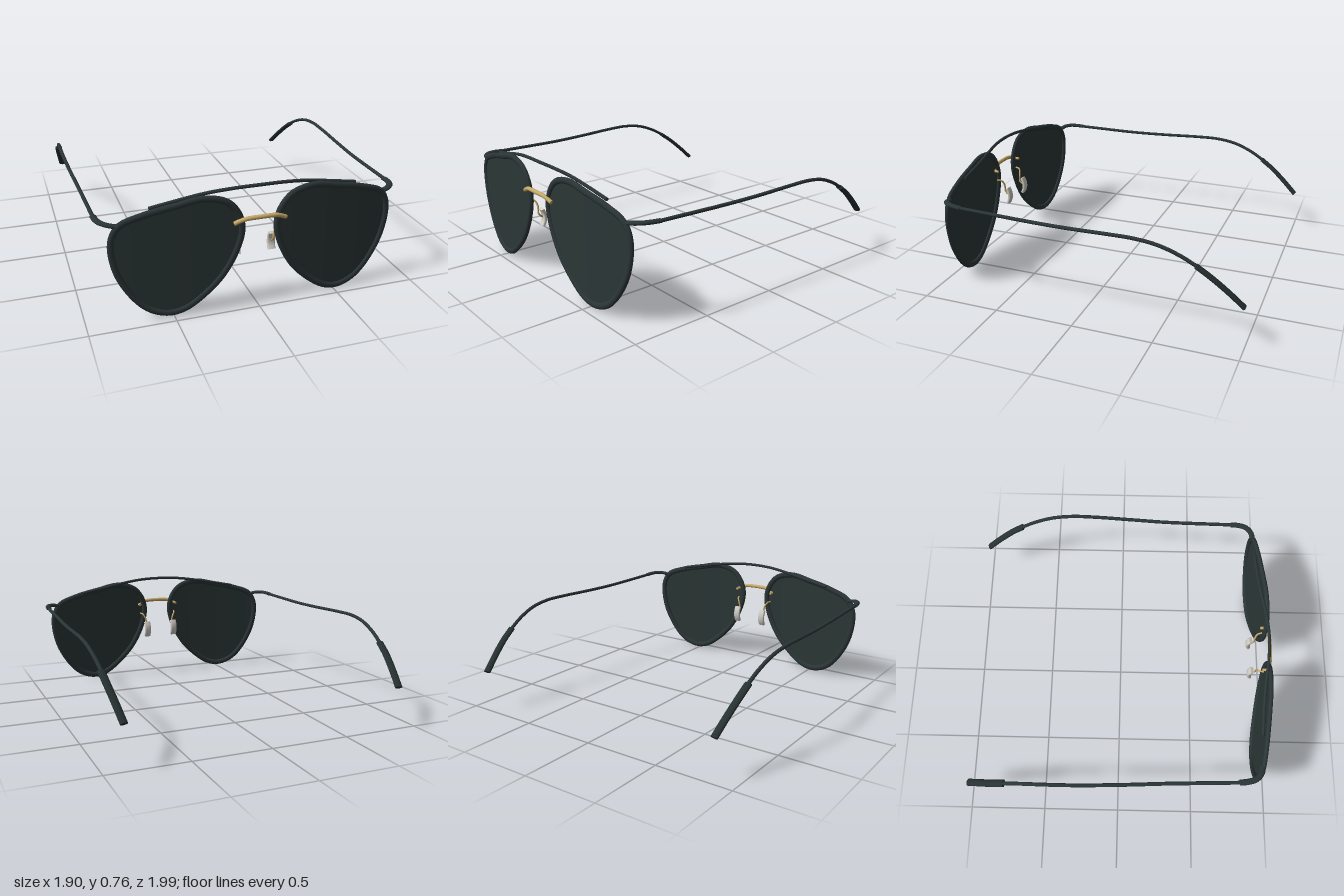
import * as THREE from 'three';

const mat = (name, color, side = THREE.FrontSide) => {
  const m = new THREE.MeshStandardMaterial({ color, side });
  m.name = name;
  return m;
};
const V = (x, y, z) => new THREE.Vector3(x, y, z);
const UP_Y = V(0, 1, 0), UP_Z = V(0, 0, 1);

// Sweeps an oval section (half width a, half height b) along a smooth path.
function sweep(points, a, b, { up = UP_Y, closed = false, steps = 48, sides = 12, power = 1 } = {}) {
  const curve = new THREE.CatmullRomCurve3(points, closed, 'centripetal');
  const pos = [], idx = [];
  const soft = (v) => Math.sign(v) * Math.abs(v) ** power;
  for (let i = 0; i <= steps; i++) {
    const p = curve.getPointAt(i / steps), t = curve.getTangentAt(i / steps);
    const s = up.clone().cross(t).normalize(), n = t.clone().cross(s);
    for (let j = 0; j < sides; j++) {
      const w = (j / sides) * Math.PI * 2;
      const q = p.clone().addScaledVector(s, a * soft(Math.cos(w))).addScaledVector(n, b * soft(Math.sin(w)));
      pos.push(q.x, q.y, q.z);
    }
  }
  for (let i = 0; i < steps; i++) {
    const r0 = i * sides, r1 = (closed ? (i + 1) % steps : i + 1) * sides;
    for (let j = 0; j < sides; j++) {
      const k = (j + 1) % sides;
      idx.push(r0 + j, r0 + k, r1 + j, r0 + k, r1 + k, r1 + j);
    }
  }
  // flat end caps on their own vertices
  if (!closed) for (const end of [0, steps]) {
    const base = pos.length / 3, from = end * sides * 3;
    pos.push(...pos.slice(from, from + sides * 3));
    for (let j = 1; j < sides - 1; j++) {
      idx.push(base, base + (end ? j : j + 1), base + (end ? j + 1 : j));
    }
  }
  const g = new THREE.BufferGeometry();
  g.setAttribute('position', new THREE.Float32BufferAttribute(pos, 3));
  g.setIndex(idx);
  g.computeVertexNormals();
  return g;
}

// Outer edge of one lens and the shallow wrap of the front
const OUTLINE = [
  [0.085, 0.51], [0.108, 0.61], [0.18, 0.695], [0.315, 0.73], [0.48, 0.702], [0.67, 0.66],
  [0.805, 0.605], [0.853, 0.51], [0.83, 0.31], [0.73, 0.125], [0.64, 0.04], [0.535, 0.005],
  [0.44, 0.02], [0.35, 0.075], [0.21, 0.21], [0.12, 0.37],
];
const CENTRE = [0.47, 0.39];
const wrapZ = (x) => 0.962 - 0.015 * x - 0.072 * x * x;
const inset = (f, sx) => OUTLINE.map(([x, y]) => {
  const px = CENTRE[0] + (x - CENTRE[0]) * f;
  return V(sx * px, CENTRE[1] + (y - CENTRE[1]) * f, wrapZ(px));
});

// Curved lens sheet made of shrinking rings
function lensGeometry(sx) {
  const edge = new THREE.CatmullRomCurve3(inset(0.95, 1), true, 'centripetal').getSpacedPoints(72).slice(0, 72);
  const pos = [], idx = [], rings = 8, n = edge.length;
  for (let r = 0; r <= rings; r++) {
    const f = 1 - r / rings;
    for (const p of edge) {
      const x = CENTRE[0] + (p.x - CENTRE[0]) * f;
      pos.push(sx * x, CENTRE[1] + (p.y - CENTRE[1]) * f, wrapZ(x) + 0.003);
    }
  }
  for (let r = 0; r < rings; r++) for (let j = 0; j < n; j++) {
    const a = r * n + j, b = r * n + (j + 1) % n, c = a + n, d = b + n;
    // the outline runs clockwise on the left and anticlockwise on the right
    const tris = sx > 0 ? [a, c, b, b, c, d] : [a, b, c, b, d, c];
    idx.push(...(r === rings - 1 ? tris.slice(0, 3) : tris));
  }
  const g = new THREE.BufferGeometry();
  g.setAttribute('position', new THREE.Float32BufferAttribute(pos, 3));
  g.setIndex(idx);
  g.computeVertexNormals();
  return g;
}

export function createModel() {
  const model = new THREE.Group();
  model.name = 'sunglasses';
  const frame = mat('dark frame', 0x2b3536);
  const lens = mat('tinted lens', 0x2b3736, THREE.DoubleSide);
  const tipMat = mat('temple tip', 0x273131);
  const gold = mat('gold metal', 0xc9ab69);
  const padMat = mat('pad silicone', 0xd2cec6);
  const add = (name, geometry, material, parent = model) => {
    const m = new THREE.Mesh(geometry, material);
    m.name = name;
    parent.add(m);
    return m;
  };

  for (const sx of [1, -1]) {
    const side = new THREE.Group();
    side.name = sx > 0 ? 'leftSide' : 'rightSide';
    model.add(side);
    const path = (pts) => pts.map(([x, y, z]) => V(sx * x, y, z));

    // Rim and lens
    add('rim', sweep(inset(0.95, sx), 0.02, 0.015, { up: UP_Z, closed: true, steps: 96 }), frame, side);
    add('lens', lensGeometry(sx), lens, side);

    // Hinge, temple arm and ear tip
    add('hinge', sweep(path([
      [0.8, 0.592, 0.897], [0.84, 0.6, 0.887], [0.878, 0.604, 0.852], [0.895, 0.603, 0.8], [0.9, 0.6, 0.75],
    ]), 0.019, 0.012, { steps: 20 }), frame, side);
    add('temple', sweep(path([
      [0.9, 0.6, 0.77], [0.905, 0.597, 0.6], [0.915, 0.593, 0.3], [0.928, 0.597, 0.05], [0.938, 0.606, -0.2],
      [0.94, 0.607, -0.36], [0.935, 0.588, -0.5], [0.925, 0.54, -0.63], [0.915, 0.484, -0.73],
    ]), 0.012, 0.0105), frame, side);
    add('templeTip', sweep(path([
      [0.917, 0.49, -0.717], [0.908, 0.432, -0.8], [0.892, 0.352, -0.895], [0.875, 0.265, -0.987],
    ]), 0.024, 0.014, { steps: 20 }), tipMat, side);

    // Nose pad on its wire arm, with the bridge screw behind the lens
    add('padArm', sweep(path([
      [0.14, 0.48, 0.955], [0.13, 0.475, 0.925], [0.112, 0.44, 0.912], [0.106, 0.39, 0.912], [0.108, 0.365, 0.885],
    ]), 0.006, 0.006, { steps: 24, sides: 8 }), gold, side);
    add('nosePad', sweep(path([
      [0.108, 0.418, 0.89], [0.108, 0.39, 0.877], [0.108, 0.362, 0.873], [0.108, 0.335, 0.877], [0.108, 0.308, 0.89],
    ]), 0.024, 0.011, { up: UP_Z, steps: 16, sides: 16, power: 0.6 }), padMat, side);
    const screw = add('bridgeScrew', new THREE.CylinderGeometry(0.009, 0.009, 0.03, 12), gold, side);
    screw.rotation.x = Math.PI / 2;
    screw.position.set(sx * 0.148, 0.548, 0.948);
  }

  // Brow bar running behind the top of both rims
  const brow = [[0.62, 0.672, 0.893], [0.45, 0.703, 0.902], [0.3, 0.73, 0.916], [0.15, 0.748, 0.937]];
  const bridge = [[0.155, 0.546, 0.968], [0.125, 0.56, 0.973], [0.09, 0.572, 0.98]];
  const mirrored = (half, mid) => [
    ...half.map(([x, y, z]) => V(-x, y, z)), V(...mid), ...half.map(([x, y, z]) => V(x, y, z)).reverse(),
  ];
  add('browBar', sweep(mirrored(brow, [0, 0.753, 0.946]), 0.01, 0.01, { steps: 64 }), frame);

  // Gold bridge across the front
  add('bridge', sweep(mirrored(bridge, [0, 0.576, 0.984]), 0.013, 0.013, { steps: 40 }), gold);
  return model;
}
